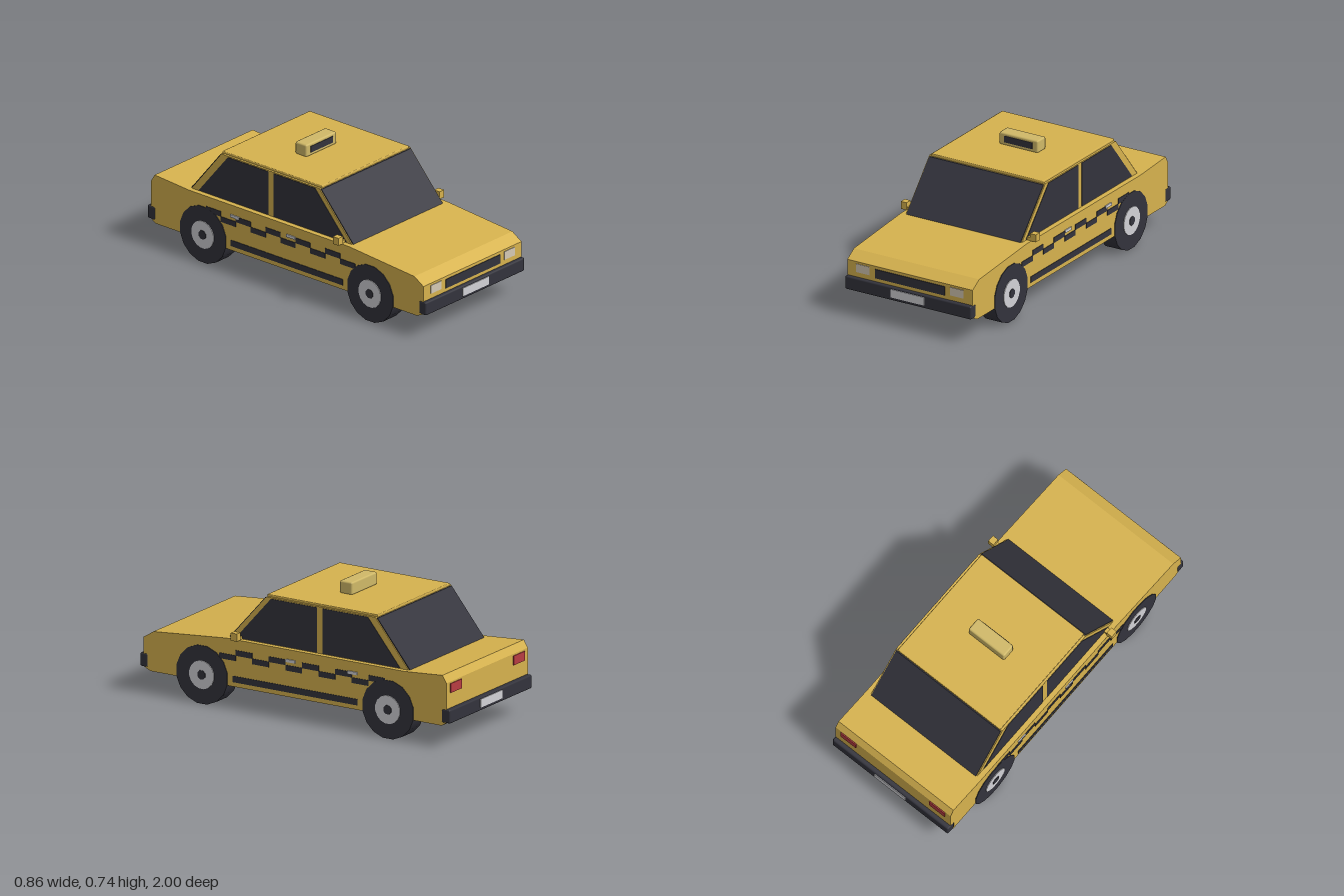
import * as THREE from 'three';
import { RoundedBoxGeometry } from 'three/addons/geometries/RoundedBoxGeometry.js';

const paint = (name, color) => {
  const m = new THREE.MeshStandardMaterial({ color });
  m.name = name;
  return m;
};

export function createModel() {
  const car = new THREE.Group();
  car.name = 'taxi';
  const yellow = paint('yellow paint', 0xd6b24e);
  const dark = paint('dark rubber and glass', 0x33333c);
  const silver = paint('silver', 0xd2d2d6);
  const red = paint('red lamp', 0xb83c42);
  const cream = paint('headlamp', 0xd4c8b4);
  const pale = paint('pale yellow sign', 0xd0b968);

  const add = (name, geometry, material, parent = car) => {
    const mesh = new THREE.Mesh(geometry, material);
    mesh.name = name;
    parent.add(mesh);
    return mesh;
  };
  // box given by its limits on each axis
  const box = (name, [x0, x1], [y0, y1], [z0, z1], material, round = 0) => {
    const size = [x1 - x0, y1 - y0, z1 - z0];
    const g = round ? new RoundedBoxGeometry(...size, 1, round) : new THREE.BoxGeometry(...size);
    g.translate((x0 + x1) / 2, (y0 + y1) / 2, (z0 + z1) / 2);
    return add(name, g, material);
  };
  // side outline of (z, y) points, extruded from x0 to x1
  const profile = (name, points, x0, x1, material) => {
    const shape = new THREE.Shape(points.map(([z, y]) => new THREE.Vector2(z, y)));
    const g = new THREE.ExtrudeGeometry(shape, { depth: x1 - x0, bevelEnabled: false });
    g.rotateY(-Math.PI / 2).translate(x1, 0, 0);
    return add(name, g, material);
  };

  // body shell, cabin and roof
  profile('body', [
    [0.93, 0.128], [0.975, 0.15], [0.975, 0.312], [0.91, 0.353], [0.44, 0.393],
    [-0.7, 0.393], [-0.945, 0.411], [-0.97, 0.37], [-0.97, 0.148], [-0.94, 0.128],
  ], -0.4, 0.4, yellow);
  profile('cabin', [[0.44, 0.39], [0.205, 0.655], [-0.495, 0.655], [-0.71, 0.39]], -0.37, 0.37, yellow);
  box('roof', [-0.357, 0.357], [0.65, 0.667], [-0.5, 0.21], yellow, 0.005);

  // windscreen and rear window
  profile('windscreen', [[0.436, 0.394], [0.444, 0.394], [0.216, 0.65], [0.208, 0.65]], -0.364, 0.364, dark);
  profile('rearWindow', [[-0.706, 0.394], [-0.714, 0.394], [-0.505, 0.65], [-0.497, 0.65]], -0.364, 0.364, dark);

  for (const s of [1, -1]) {
    const side = s > 0 ? 'left' : 'right';
    const span = (a, b) => (s > 0 ? [a, b] : [-b, -a]);
    // side windows
    const [w0, w1] = span(0.367, 0.3725);
    profile(side + 'FrontWindow', [[0.4, 0.396], [0.175, 0.649], [-0.12, 0.649], [-0.12, 0.396]], w0, w1, dark);
    profile(side + 'RearWindow', [[-0.157, 0.396], [-0.157, 0.649], [-0.447, 0.649], [-0.655, 0.396]], w0, w1, dark);

    // chequered band
    for (let i = 0; i < 10; i++) {
      const z = 0.488 - i * 0.1065;
      const y = i % 2 ? 0.304 : 0.274;
      box(side + 'Checker', span(0.397, 0.403), [y, y + 0.031], [z - 0.1065, z], dark);
    }
    box(side + 'SillStripe', span(0.397, 0.403), [0.153, 0.188], [-0.4, 0.4], dark);

    // door handles
    for (const z of [0, -0.4]) {
      box(side + 'DoorHandle', span(0.398, 0.406), [0.323, 0.339], [z, z + 0.06], silver);
    }

    // mirror on a short arm
    box(side + 'MirrorArm', span(0.365, 0.4), [0.392, 0.41], [0.36, 0.39], yellow);
    box(side + 'Mirror', span(0.395, 0.431), [0.394, 0.437], [0.355, 0.395], yellow);

    // lamps
    box(side + 'Headlight', span(0.257, 0.343), [0.252, 0.3], [0.97, 0.979], cream);
    box(side + 'TailLight', span(0.255, 0.362), [0.308, 0.36], [-0.976, -0.967], red);

    // wheels
    for (const z of [0.597, -0.597]) {
      const wheel = new THREE.Group();
      wheel.name = side + (z > 0 ? 'FrontWheel' : 'RearWheel');
      wheel.position.set(0, 0.163, z);
      car.add(wheel);
      const disc = (name, r, x0, x1, n, material) => {
        const g = new THREE.CylinderGeometry(r, r, x1 - x0, n);
        g.rotateY(Math.PI / n).rotateZ(Math.PI / 2).translate((s * (x0 + x1)) / 2, 0, 0);
        add(name, g, material, wheel);
      };
      disc('tyre', 0.166, 0.3, 0.404, 16, dark);
      disc('rim', 0.08, 0.395, 0.408, 16, silver);
      disc('hubCap', 0.027, 0.4, 0.411, 8, dark);
    }
  }

  // grille, bumpers and blank plates
  box('grille', [-0.222, 0.222], [0.243, 0.295], [0.97, 0.979], dark);
  box('frontBumper', [-0.403, 0.403], [0.146, 0.223], [0.945, 0.996], dark, 0.009);
  box('rearBumper', [-0.403, 0.403], [0.146, 0.223], [-0.996, -0.94], dark, 0.009);
  box('frontPlate', [-0.107, 0.107], [0.165, 0.212], [0.992, 1], silver);
  box('rearPlate', [-0.107, 0.107], [0.165, 0.212], [-1, -0.992], silver);

  // roof sign
  box('roofSign', [-0.124, 0.124], [0.665, 0.737], [-0.185, -0.103], pale, 0.01);
  box('roofSignPanel', [-0.089, 0.089], [0.684, 0.721], [-0.106, -0.1], dark);

  return car;
}
